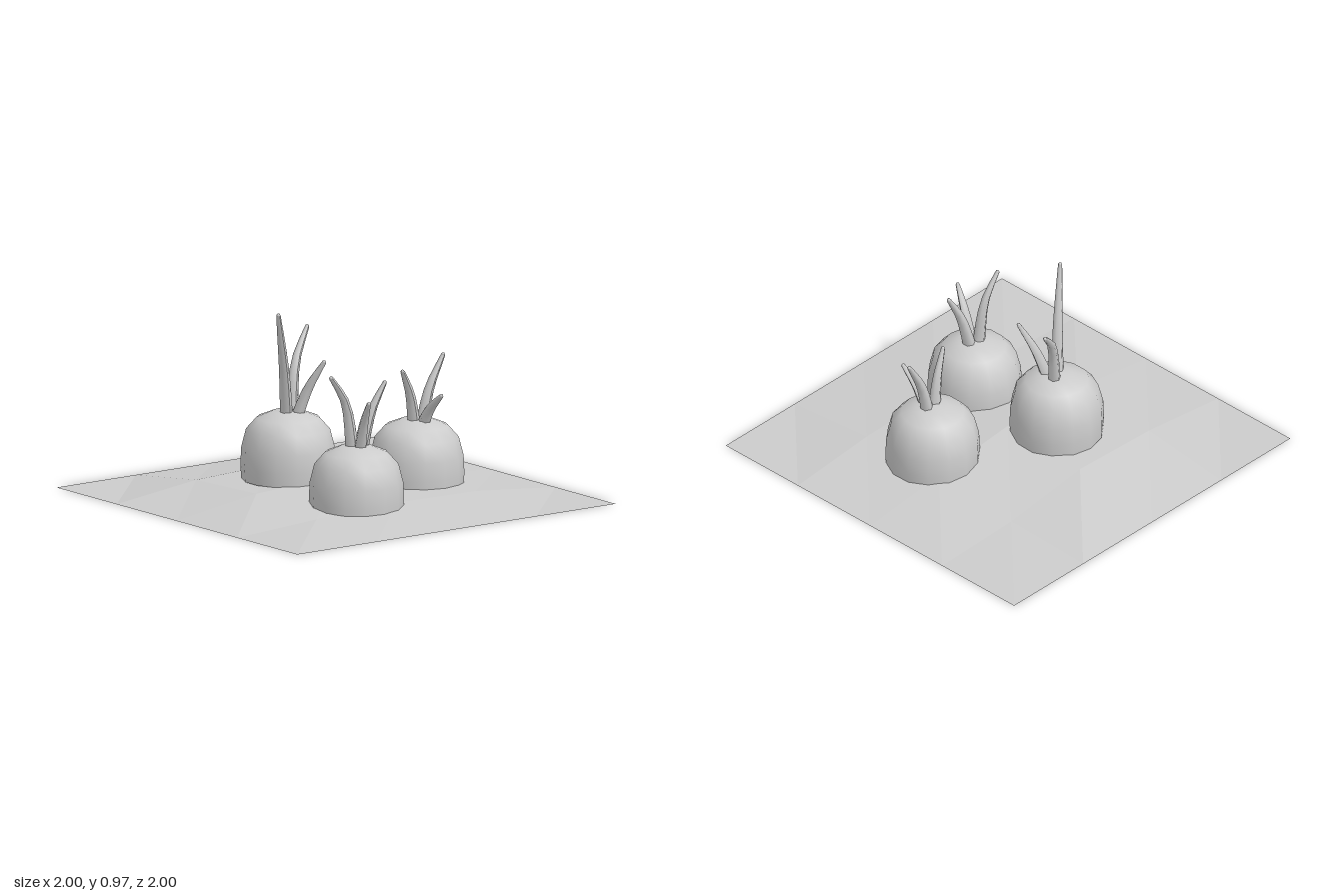
import * as THREE from 'three';

const grey = new THREE.MeshStandardMaterial({ color: 0xcccccc });
const soil = new THREE.MeshStandardMaterial({ color: 0xcccccc, flatShading: true, side: THREE.DoubleSide });

function add(parent, name, geometry, material = grey) {
  const mesh = new THREE.Mesh(geometry, material);
  mesh.name = name;
  parent.add(mesh);
  return mesh;
}

// Low mound: a square sheet, raised at its inner grid points
function moundGeometry() {
  const heights = [
    [0, 0, 0, 0, 0],
    [0, 0.06, 0.08, 0.015, 0],
    [0, 0.075, 0.1, 0.055, 0],
    [0, 0.03, 0.05, 0.045, 0],
    [0, 0, 0, 0, 0],
  ];
  const g = new THREE.PlaneGeometry(2, 2, 4, 4).rotateX(-Math.PI / 2);
  heights.flat().forEach((h, i) => g.attributes.position.setY(i, h));
  g.computeVertexNormals();
  return g;
}

// Domed root top, open underneath
function bulbGeometry() {
  const profile = [[0.235, 0], [0.239, 0.07], [0.235, 0.16], [0.211, 0.255], [0.16, 0.312], [0.08, 0.345], [0, 0.352]];
  return new THREE.LatheGeometry(profile.map(([r, y]) => new THREE.Vector2(r, y)), 14);
}

// Tapered, bent stalk with a blunt tip
function addStalk(parent, points) {
  const segments = 6, sides = 6, base = 0.033, tip = 0.011;
  const curve = new THREE.CatmullRomCurve3(points.map((p) => new THREE.Vector3(...p)));
  const g = new THREE.TubeGeometry(curve, segments, 1, sides);
  const pos = g.attributes.position, v = new THREE.Vector3();
  for (let i = 0; i <= segments; i++) {
    const t = i / segments, centre = curve.getPointAt(t);
    const radius = THREE.MathUtils.lerp(base, tip, t * t * 0.6 + t * 0.4);
    for (let j = 0; j <= sides; j++) {
      const k = i * (sides + 1) + j;
      v.fromBufferAttribute(pos, k).sub(centre).multiplyScalar(radius).add(centre);
      pos.setXYZ(k, v.x, v.y, v.z);
    }
  }
  g.computeVertexNormals();
  const stalk = new THREE.Group();
  stalk.name = 'stalk';
  parent.add(stalk);
  add(stalk, 'stalkBlade', g);
  add(stalk, 'stalkTip', new THREE.SphereGeometry(tip, 6, 4)).position.set(...points[points.length - 1]);
}

// Each plant: bulb position, then start, bend and tip of its stalks
const plants = [
  {
    name: 'backPlant', at: [-0.165, 0.08, -0.18],
    stalks: [
      [[-0.18, 0.36, -0.17], [-0.235, 0.65, -0.12], [-0.32, 0.955, -0.055]],
      [[-0.14, 0.36, -0.19], [-0.075, 0.66, -0.235], [0.05, 0.81, -0.305]],
      [[-0.15, 0.36, -0.15], [-0.11, 0.55, -0.085], [-0.067, 0.69, -0.01]],
    ],
  },
  {
    name: 'frontPlant', at: [-0.17, 0, 0.395],
    stalks: [
      [[-0.185, 0.3, 0.385], [-0.225, 0.57, 0.375], [-0.31, 0.705, 0.37]],
      [[-0.145, 0.3, 0.395], [-0.085, 0.52, 0.41], [-0.015, 0.655, 0.425]],
      [[-0.165, 0.3, 0.41], [-0.185, 0.47, 0.475], [-0.21, 0.59, 0.55]],
    ],
  },
  {
    name: 'leftPlant', at: [0.405, 0.02, 0.135],
    stalks: [
      [[0.385, 0.31, 0.145], [0.345, 0.5, 0.16], [0.28, 0.63, 0.183]],
      [[0.425, 0.31, 0.145], [0.475, 0.51, 0.145], [0.565, 0.675, 0.143]],
      [[0.405, 0.31, 0.165], [0.407, 0.435, 0.245], [0.408, 0.515, 0.335]],
    ],
  },
];

export function createModel() {
  const model = new THREE.Group();
  model.name = 'rootVegetablePatch';
  add(model, 'soilMound', moundGeometry(), soil);
  for (const { name, at, stalks } of plants) {
    const plant = new THREE.Group();
    plant.name = name;
    model.add(plant);
    add(plant, 'bulb', bulbGeometry()).position.set(...at);
    stalks.forEach((points) => addStalk(plant, points));
  }
  return model;
}
